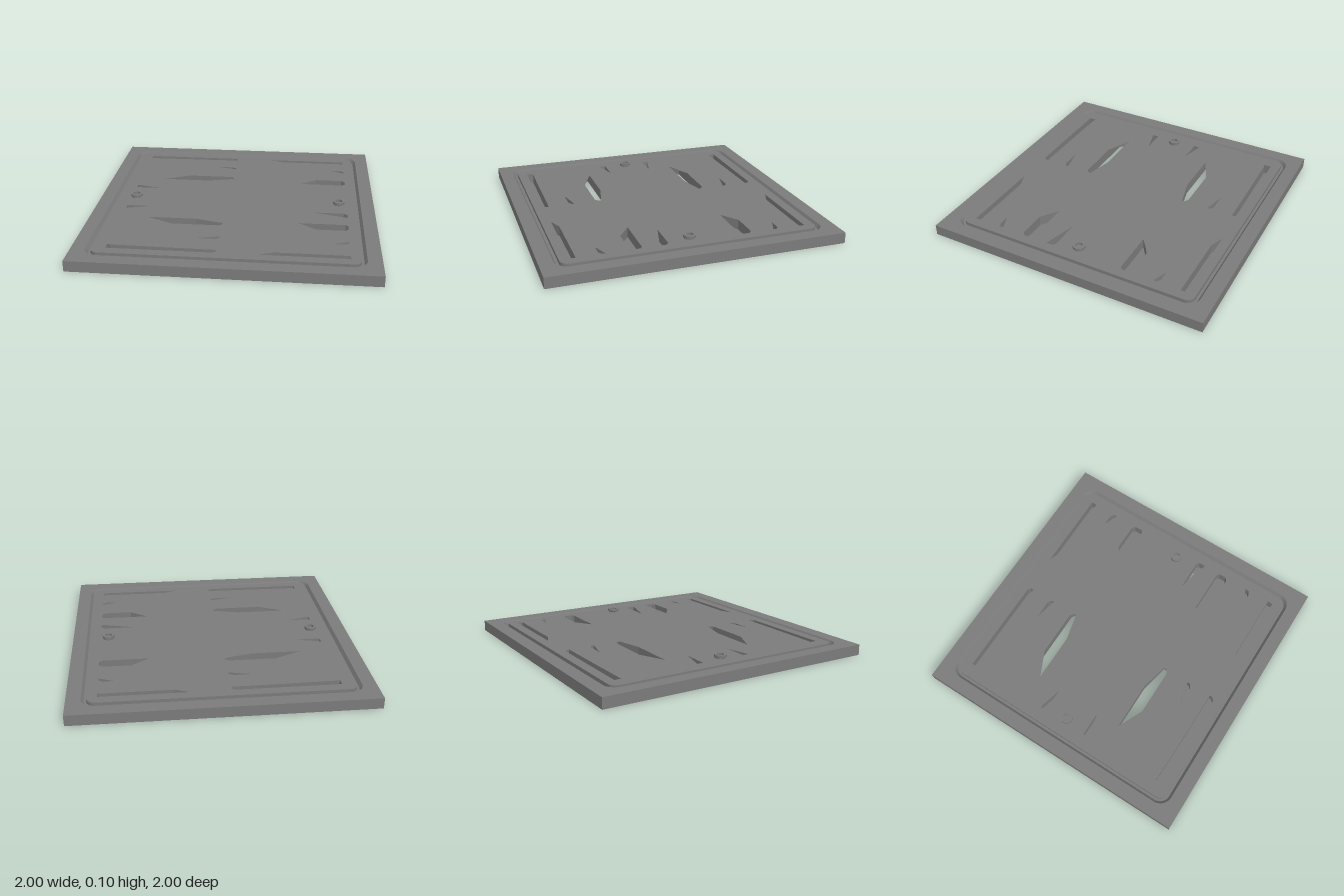
import * as THREE from 'three';

const TOP = 0.075, SKIN = 0.004, GROOVE = 0.05;
const material = new THREE.MeshStandardMaterial({ color: 0x7b7b7b });

// Outline from [x, z] points, mirrored in z when side is -1
const outline = (pts, side = 1) => new THREE.Path(pts.map(([x, z]) => new THREE.Vector2(x, -z * side)));
const bothSides = (list) => list.flatMap((pts) => [outline(pts, 1), outline(pts, -1)]);

function roundedSquare(h, r) {
  const s = new THREE.Shape();
  const c = h - r;
  s.absarc(c, c, r, 0, Math.PI / 2);
  s.absarc(-c, c, r, Math.PI / 2, Math.PI);
  s.absarc(-c, -c, r, Math.PI, Math.PI * 1.5);
  s.absarc(c, -c, r, Math.PI * 1.5, Math.PI * 2);
  s.closePath();
  return s;
}

function square(h) {
  return new THREE.Shape([[-h, -h], [h, -h], [h, h], [-h, h]].map(([x, y]) => new THREE.Vector2(x, y)));
}

// Horizontal slab between two heights, pierced by holes
function slab(name, shape, holes, y0, y1) {
  shape.holes.push(...holes);
  const geo = new THREE.ExtrudeGeometry(shape, { depth: y1 - y0, bevelEnabled: false, curveSegments: 8 });
  geo.rotateX(-Math.PI / 2).translate(0, y0, 0);
  const mesh = new THREE.Mesh(geo, material);
  mesh.name = name;
  return mesh;
}

// Sloping outer wall of the groove, as a strip between two rounded squares
function slopedWall(outer, inner) {
  const loops = [outer, inner].map(([h]) => roundedSquare(h, h - 0.815).getPoints(8));
  const n = loops[0].length;
  const pos = [], index = [];
  loops.forEach((loop, i) => loop.forEach((p) => pos.push(p.x, [outer, inner][i][1], -p.y)));
  for (let j = 0; j < n; j++) {
    const k = (j + 1) % n;
    index.push(j, k, j + n, k, k + n, j + n);
  }
  const geo = new THREE.BufferGeometry();
  geo.setAttribute('position', new THREE.Float32BufferAttribute(pos, 3));
  geo.setIndex(index);
  geo.computeVertexNormals();
  const mesh = new THREE.Mesh(geo, material);
  mesh.name = 'grooveWall';
  return mesh;
}

export function createModel() {
  const group = new THREE.Group();
  group.name = 'slottedPlate';

  // Deep pockets open only to the top
  const topPockets = bothSides([
    [[-0.775, 0.75], [-0.755, 0.757], [-0.42, 0.762], [-0.055, 0.766], [-0.06, 0.79], [-0.08, 0.803], [-0.775, 0.803]],
    [[0.215, 0.803], [0.31, 0.765], [0.803, 0.765], [0.803, 0.803]],
    [[-0.22, 0.617], [-0.055, 0.58], [-0.058, 0.6], [-0.085, 0.617]],
    [[0.695, 0.617], [0.803, 0.575], [0.8, 0.6], [0.775, 0.617]],
    [[0.465, 0.335], [0.785, 0.335], [0.803, 0.35], [0.803, 0.4], [0.78, 0.42], [0.585, 0.42]],
    [[-0.775, 0.16], [-0.6, 0.16], [-0.755, 0.2], [-0.775, 0.205]],
  ]);
  topPockets.push(outline([[0.565, 0.158], [0.78, 0.158], [0.803, 0.175], [0.803, 0.222]]));

  // Deep pockets open only to the underside
  const lowerPockets = bothSides([
    [[0.08, 0.37], [0.24, 0.32], [0.455, 0.335], [0.42, 0.4], [0.23, 0.43], [0.08, 0.4]],
    [[-0.26, 0.158], [-0.05, 0.158], [-0.05, 0.195], [-0.08, 0.2]],
    [[0.06, 0.617], [0.07, 0.585], [0.15, 0.617]],
  ]);
  const notch = [[0.67, 0.16], [0.75, 0.16], [0.73, 0.175], [0.71, 0.172]];
  lowerPockets.push(outline(notch, -1));

  // Slots that pass right through, wider below than above
  const slotTop = bothSides([
    [[-0.595, 0.335], [-0.25, 0.335], [-0.055, 0.382], [-0.06, 0.405], [-0.085, 0.42], [-0.41, 0.42]],
  ]);
  const slotBelow = bothSides([
    [[-0.67, 0.335], [-0.25, 0.335], [-0.04, 0.38], [-0.045, 0.405], [-0.07, 0.42], [-0.59, 0.42]],
  ]);

  // Plate in layers: thin floor, core, thin top panel and the border around it
  const allPockets = [...topPockets, ...lowerPockets, ...slotBelow];
  const lowerHoles = [...lowerPockets, ...slotBelow, outline(notch)];
  group.add(slab('floorPanel', square(1), lowerHoles, 0, SKIN));
  group.add(slab('core', square(1), allPockets, SKIN, GROOVE));
  group.add(slab('upperCore', roundedSquare(0.87, 0.055), allPockets, GROOVE, TOP - SKIN));
  group.add(slab('topPanel', roundedSquare(0.87, 0.055), [...topPockets, ...slotTop], TOP - SKIN, TOP));
  group.add(slab('outerBorder', square(1), [roundedSquare(0.905, 0.09)], GROOVE, TOP));
  group.add(slopedWall([0.905, TOP], [0.888, GROOVE]));

  // Small ring-shaped studs at the left and right
  const ring = [[0.038, TOP - 0.005], [0.038, 0.08], [0.042, 0.082], [0.042, 0.1], [0.025, 0.1], [0.025, 0.082], [0, 0.082]];
  const studGeo = new THREE.LatheGeometry(ring.map(([r, y]) => new THREE.Vector2(r, y)), 24).toNonIndexed();
  studGeo.computeVertexNormals();
  for (const side of [1, -1]) {
    const stud = new THREE.Mesh(studGeo, material);
    stud.name = side > 0 ? 'leftStud' : 'rightStud';
    stud.position.x = side * 0.744 + 0.003;
    group.add(stud);
  }
  return group;
}
